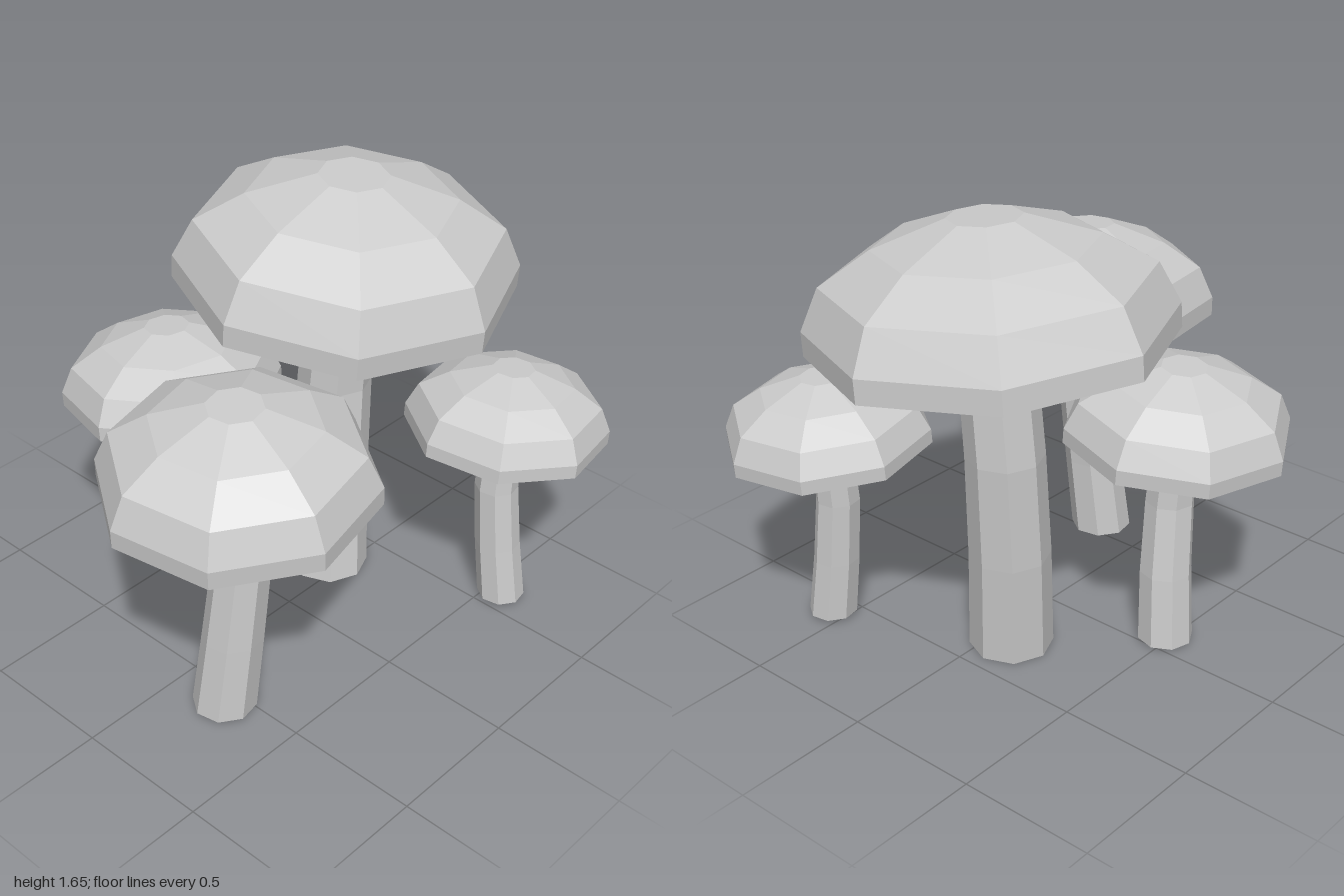
import * as THREE from 'three';

const SIDES = 8;
const material = new THREE.MeshStandardMaterial({ color: 0xcccccc, flatShading: true });

// Cap outline as fractions of radius and height: flat underside, short rim, faceted dome
const CAP_PROFILE = [[0, 0], [1, 0], [1, 0.2], [0.89, 0.54], [0.605, 0.8], [0.205, 1], [0, 1]];

// cap: centre of the underside, radius, height, yaw in degrees, slope of the rim along x and z
// stem: centres of the rings from foot to top
const MUSHROOMS = [
  {
    name: 'tallMushroom',
    cap: { at: [-0.08, 1.215, -0.38], radius: 0.622, height: 0.43, yaw: 0, slope: [-0.073, 0] },
    stem: [[-0.07, 0, -0.3], [-0.1, 0.4, -0.335], [-0.11, 0.8, -0.365], [-0.08, 1.24, -0.375]],
    foot: 0.152, neck: 0.132,
  },
  {
    name: 'frontMushroom',
    cap: { at: [0.265, 0.945, 0.525], radius: 0.475, height: 0.342, yaw: -11.6, slope: [-0.04, -0.06] },
    stem: [[0.21, 0.01, 0.56], [0.235, 0.32, 0.535], [0.255, 0.64, 0.505], [0.26, 0.97, 0.52]],
    foot: 0.116, neck: 0.096,
  },
  {
    name: 'rightMushroom',
    cap: { at: [-0.473, 0.8, 0.116], radius: 0.403, height: 0.278, yaw: 6.7, slope: [0.077, 0] },
    stem: [[-0.48, 0.01, 0.078], [-0.465, 0.28, 0.088], [-0.453, 0.55, 0.115], [-0.47, 0.83, 0.125]],
    foot: 0.101, neck: 0.083,
  },
  {
    name: 'leftMushroom',
    cap: { at: [0.51, 0.737, -0.6], radius: 0.37, height: 0.257, yaw: -12, slope: [-0.02, 0.066] },
    stem: [[0.558, 0.015, -0.59], [0.53, 0.25, -0.582], [0.508, 0.5, -0.578], [0.51, 0.77, -0.597]],
    foot: 0.089, neck: 0.076,
  },
];

// Faceted dome, tilted about the centre of its underside
function makeCap({ at, radius, height, yaw, slope }) {
  const points = CAP_PROFILE.map(([r, h]) => new THREE.Vector2(r * radius, h * height));
  const geometry = new THREE.LatheGeometry(points, SIDES);
  geometry.rotateY(THREE.MathUtils.degToRad(yaw));
  const cap = new THREE.Mesh(geometry, material);
  cap.name = 'cap';
  cap.position.set(...at);
  cap.rotation.set(-slope[1], 0, slope[0]);
  return cap;
}

// Tapered prism whose rings are moved onto the bent centre line
function makeStem(rings, foot, neck, yaw) {
  const segments = rings.length - 1;
  const geometry = new THREE.CylinderGeometry(neck, foot, 1, SIDES, segments);
  geometry.rotateY(THREE.MathUtils.degToRad(yaw));
  const position = geometry.attributes.position;
  for (let i = 0; i < position.count; i++) {
    const [x, y, z] = rings[Math.round((position.getY(i) + 0.5) * segments)];
    position.setXYZ(i, position.getX(i) + x, y, position.getZ(i) + z);
  }
  geometry.computeVertexNormals();
  const stem = new THREE.Mesh(geometry, material);
  stem.name = 'stem';
  return stem;
}

export function createModel() {
  const model = new THREE.Group();
  model.name = 'mushroomCluster';
  for (const { name, cap, stem, foot, neck } of MUSHROOMS) {
    const mushroom = new THREE.Group();
    mushroom.name = name;
    mushroom.add(makeStem(stem, foot, neck, cap.yaw), makeCap(cap));
    model.add(mushroom);
  }
  return model;
}
